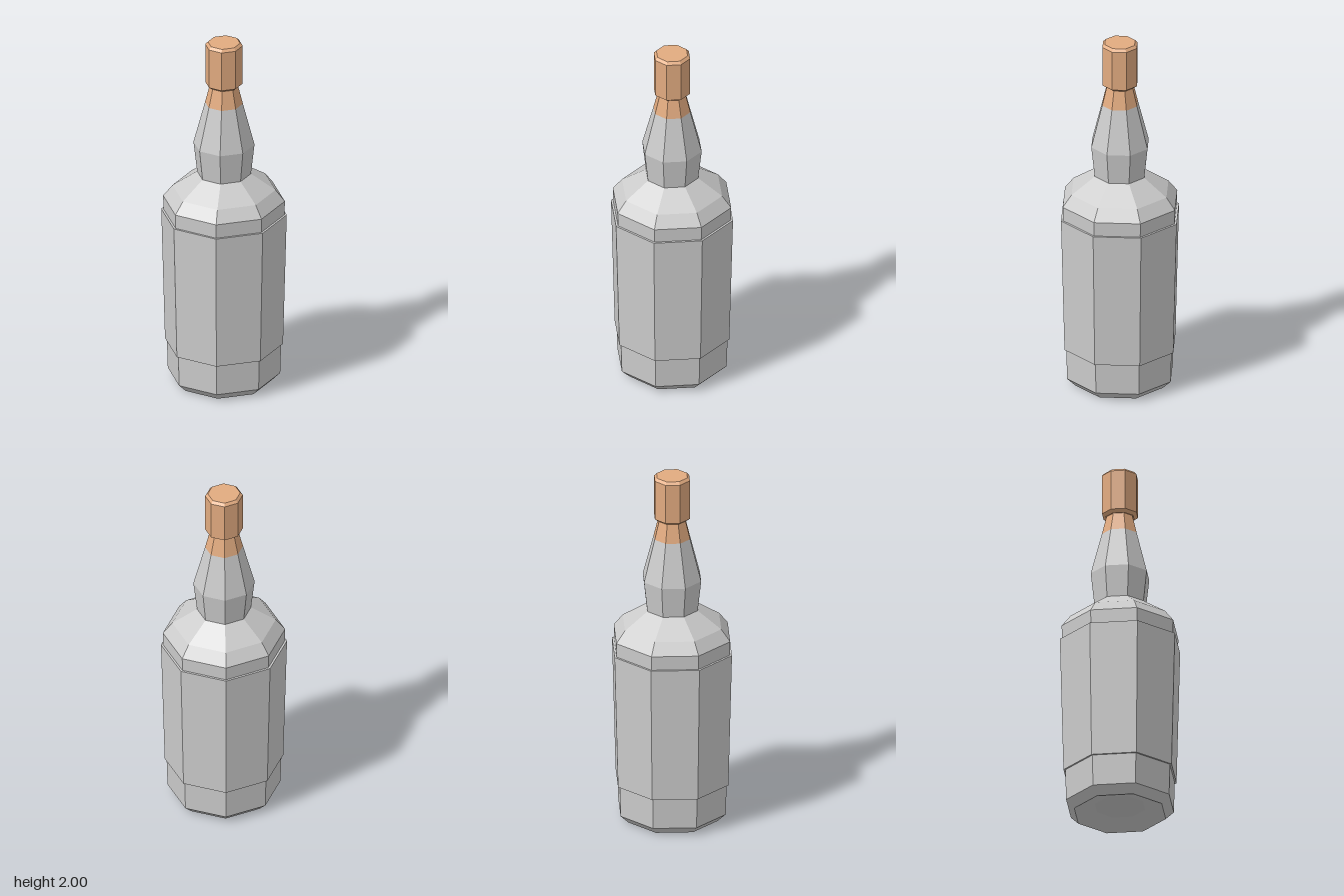
import * as THREE from 'three';

export function createModel() {
  const group = new THREE.Group();
  const glass = new THREE.MeshStandardMaterial({ color: 0xcccccc, flatShading: true });
  const copper = new THREE.MeshStandardMaterial({ color: 0xe2ab80, flatShading: true });

  // Eight-sided turned part from [radius, height] pairs, listed bottom to top
  function turned(name, profile, material) {
    const points = profile.map(([r, y]) => new THREE.Vector2(r, y));
    const mesh = new THREE.Mesh(new THREE.LatheGeometry(points, 8), material);
    mesh.name = name;
    mesh.scale.z = 1.02; // slightly deeper than wide
    group.add(mesh);
  }

  // Body with hollowed base, chamfered foot and sloping shoulder
  turned('body', [
    [0, 0.04], [0.14, 0.04], [0.255, 0], [0.3, 0.045],
    [0.305, 0.22], [0.323, 0.99], [0.325, 1.07], [0.275, 1.135], [0.143, 1.225],
  ], glass);

  // Raised band wrapped around the body
  turned('label', [[0.303, 0.22], [0.315, 0.22], [0.335, 0.99], [0.321, 0.99]], glass);

  // Bulging neck and its coloured collar
  turned('neck', [[0.143, 1.22], [0.163, 1.4], [0.101, 1.64]], glass);
  turned('collar', [[0.101, 1.64], [0.074, 1.75]], copper);

  // Chamfered cap
  turned('cap', [[0, 1.745], [0.08, 1.745], [0.1, 1.76], [0.1, 1.985], [0.086, 2], [0, 2]], copper);

  return group;
}
